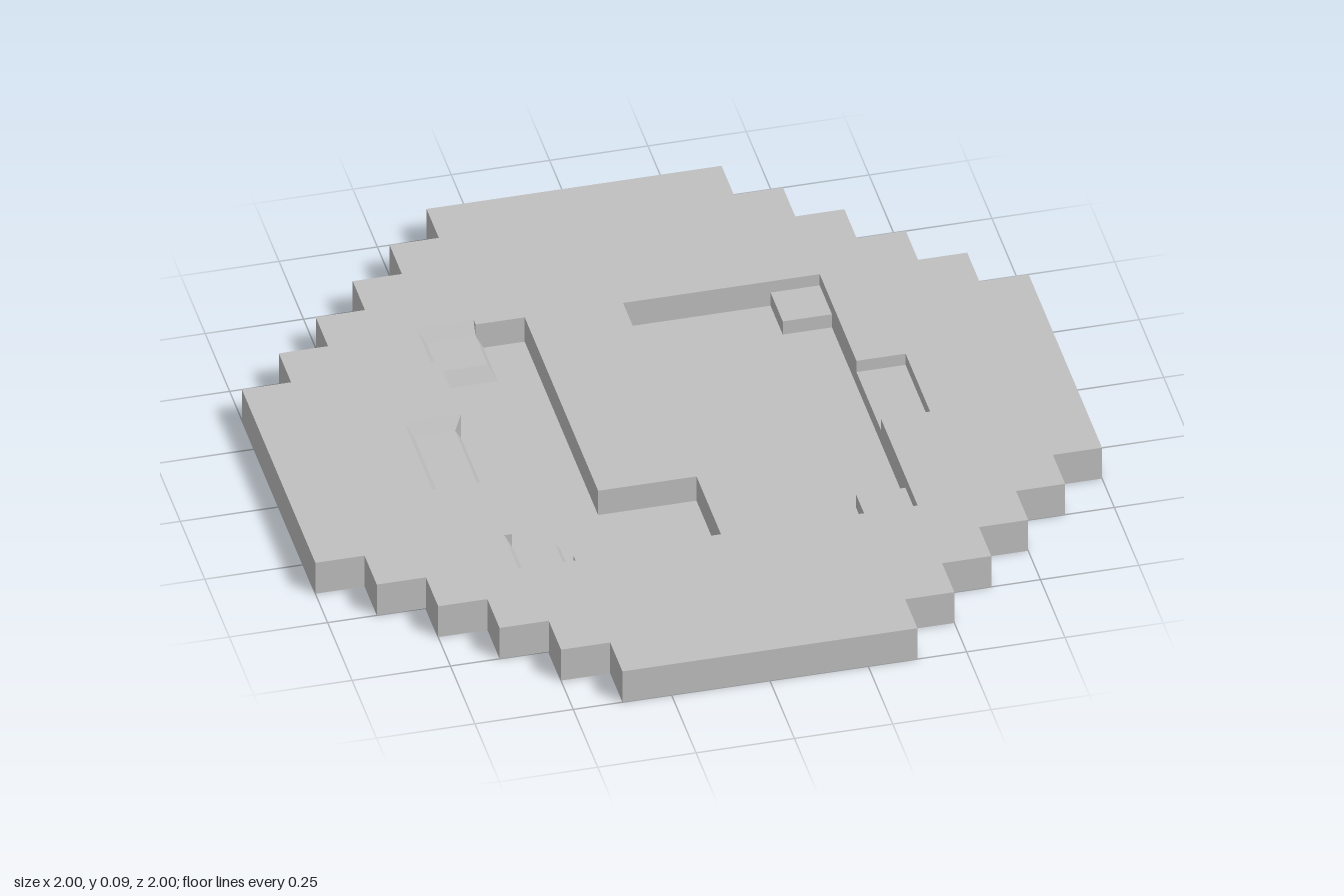
import * as THREE from 'three';

const TOP = 0.094, FLOOR = 0.02, LEDGE = 0.06;

export function createModel() {
  const group = new THREE.Group();
  const grey = new THREE.MeshStandardMaterial({ color: 0xc0c0c0, side: THREE.DoubleSide });
  grey.name = 'plainGrey';

  const add = (name, geometry) => {
    const mesh = new THREE.Mesh(geometry, grey);
    mesh.name = name;
    group.add(mesh);
  };
  const toPath = (points, Type) => new Type(points.map(([x, z]) => new THREE.Vector2(x, z)));

  // Flat slab lying in x/z between two heights
  const slab = (name, outline, holes, y0, y1) => {
    const shape = toPath(outline, THREE.Shape);
    shape.holes = holes.map((h) => toPath(h, THREE.Path));
    const g = new THREE.ExtrudeGeometry(shape, { depth: y1 - y0, bevelEnabled: false });
    add(name, g.rotateX(Math.PI / 2).translate(0, y1, 0));
  };

  // Stepped disc outline: one staircase quarter turned four times
  const stairs = [];
  for (let i = 0; i < 6; i++) {
    stairs.push([1 - i * 0.125, 0.375 + i * 0.125]);
    if (i < 5) stairs.push([1 - (i + 1) * 0.125, 0.375 + i * 0.125]);
  }
  const outline = [];
  let quarter = stairs;
  for (let q = 0; q < 4; q++) {
    outline.push(...quarter);
    quarter = quarter.map(([x, z]) => [-z, x]);
  }

  // Two hooked recesses, each with a side notch
  const leftSide = [
    [-0.52, -0.52], [-0.375, -0.52], [-0.375, -0.5], [-0.25, -0.5], [-0.25, 0.25],
    [0, 0.25], [0, 0.5], [-0.375, 0.5], [-0.375, 0.52], [-0.52, 0.52], [-0.52, 0.375],
    [-0.5, 0.375], [-0.5, 0.145], [-0.645, 0.145], [-0.645, -0.145], [-0.5, -0.145],
    [-0.5, -0.375], [-0.52, -0.375],
  ];
  const rightSide = [
    [0, -0.5], [0.5, -0.5], [0.5, -0.125], [0.625, -0.125], [0.625, 0.125],
    [0.5, 0.125], [0.5, 0.5], [0.25, 0.5], [0.25, -0.25], [0, -0.25],
  ];
  slab('base', outline, [], 0, FLOOR);
  slab('upperPlate', outline, [leftSide, rightSide], FLOOR, TOP);

  const box = (name, x0, x1, z0, z1) => {
    const g = new THREE.BoxGeometry(x1 - x0, LEDGE - FLOOR, z1 - z0);
    add(name, g.translate((x0 + x1) / 2, (LEDGE + FLOOR) / 2, (z0 + z1) / 2));
  };

  // Square-sided ledges at the right edge
  box('notchLedge', 0.5, 0.625, -0.125, 0.125);
  box('backCornerLedge', 0.375, 0.5, -0.5, -0.375);
  box('frontCornerLedge', 0.375, 0.5, 0.375, 0.5);

  // Ledge whose four sides slope out to given heights: back, right, front, left
  const slopedLedge = (name, inner, outer, heights) => {
    const corners = ([x0, x1, z0, z1]) => [[x0, z0], [x1, z0], [x1, z1], [x0, z1]];
    const a = corners(inner), b = corners(outer);
    const positions = [];
    const quad = (p, q, r, s) => positions.push(...p, ...s, ...r, ...p, ...r, ...q);
    const at = ([x, z], y) => [x, y, z];
    quad(...a.map((c) => at(c, LEDGE)));
    for (let i = 0; i < 4; i++) {
      const j = (i + 1) % 4;
      quad(at(b[i], heights[i]), at(b[j], heights[i]), at(a[j], LEDGE), at(a[i], LEDGE));
    }
    const g = new THREE.BufferGeometry();
    g.setAttribute('position', new THREE.Float32BufferAttribute(positions, 3));
    g.computeVertexNormals();
    add(name, g);
  };
  slopedLedge('slopedBackLedge', [-0.5, -0.375, -0.5, -0.375],
    [-0.52, -0.355, -0.52, -0.355], [TOP, FLOOR, FLOOR, TOP]);
  slopedLedge('slopedFrontLedge', [-0.5, -0.395, 0.395, 0.5],
    [-0.52, -0.375, 0.37, 0.52], [FLOOR, FLOOR, TOP, TOP]);
  slopedLedge('slopedNotchLedge', [-0.625, -0.52, -0.125, 0.125],
    [-0.645, -0.5, -0.145, 0.145], [TOP, FLOOR, TOP, TOP]);

  return group;
}
